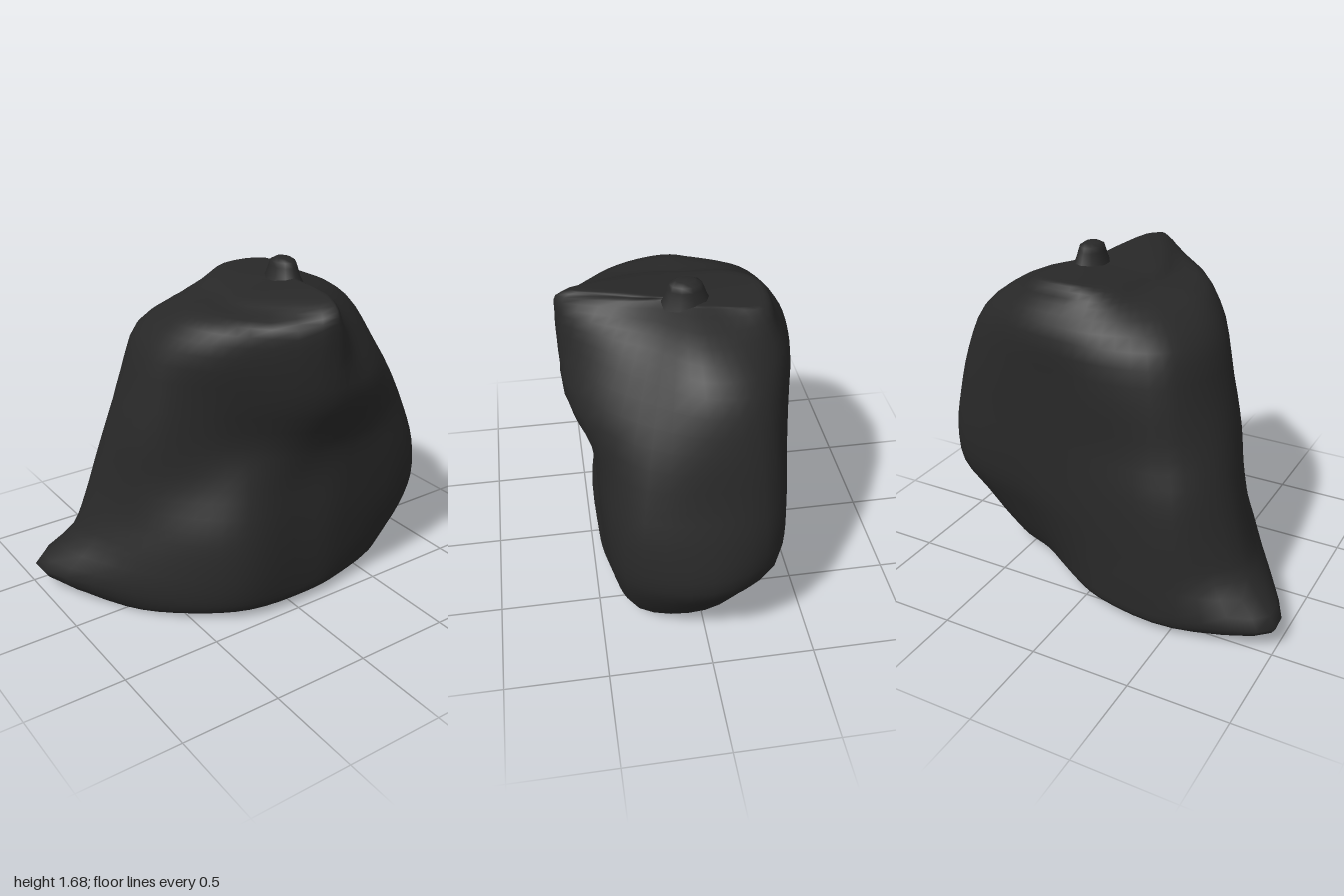
import * as THREE from 'three';

// Horizontal sections of the sack: radii at these directions (0 = +x, 90 = +z)
const ANGLES = [0, 25, 55, 80, 120, 152, 180, 205, 228, 260, 290, 318, 340];
const SECTIONS = [
  [0.04, [.68, .70, .52, .46, .49, .57, .72, .98, .79, .55, .44, .44, .58]],
  [0.12, [.77, .77, .54, .47, .52, .60, .77, 1.10, .81, .56, .46, .49, .66]],
  [0.30, [.90, .87, .55, .46, .52, .58, .72, .90, .79, .56, .49, .56, .79]],
  [0.47, [.99, .92, .56, .44, .49, .54, .66, .82, .77, .56, .51, .62, .91]],
  [0.68, [.95, .91, .57, .42, .42, .46, .62, .75, .73, .55, .51, .64, .93]],
  [0.88, [.88, .85, .59, .46, .37, .43, .60, .69, .66, .53, .51, .64, .90]],
  [1.13, [.81, .74, .67, .59, .42, .44, .55, .60, .61, .53, .51, .64, .84]],
  [1.36, [.70, .57, .56, .61, .45, .45, .48, .51, .53, .49, .51, .62, .74]],
  [1.50, [.53, .42, .47, .61, .42, .36, .34, .30, .31, .36, .42, .54, .56]],
  [1.58, [.31, .26, .36, .60, .25, .16, .12, .12, .15, .26, .38, .48, .36]],
];

// The underside sags a little on the right
const floorY = (x, z) => 0.04 - 0.04 * Math.exp(-((x + 0.62) ** 2 + z * z) / 0.06);
// The top falls away to the right of its ridge
const topDrop = x => 0.28 * Math.max(0, 0.06 - x);

// One vertical line of the sack, from the underside centre to the neck
function columnCurve(deg, i) {
  const a = THREE.MathUtils.degToRad(deg);
  const pts = SECTIONS.map(([y, r]) => new THREE.Vector3(r[i] * Math.cos(a), y, r[i] * Math.sin(a)));
  pts[0].y = floorY(pts[0].x, pts[0].z);
  const base = new THREE.Vector3(-0.1, 0.035, -0.05);
  const inset = pts[0].clone().lerp(base, 0.12);
  inset.y = floorY(inset.x, inset.z);
  const shoulder = pts[pts.length - 1];
  shoulder.y -= topDrop(shoulder.x);
  const neck = new THREE.Vector3(0.22, 1.585, 0.02);
  const rim = shoulder.clone().lerp(neck, 0.2);
  rim.y = 1.587 + 0.06 * Math.max(0, rim.z) - topDrop(rim.x);
  return new THREE.CatmullRomCurve3([base, inset, ...pts, rim, neck]);
}

// Skin stretched over the vertical lines, smooth all round
function sackGeometry(rows, cols) {
  const columns = ANGLES.map(columnCurve);
  const pos = [], index = [];
  for (let r = 0; r <= rows; r++) {
    const ring = new THREE.CatmullRomCurve3(columns.map(c => c.getPoint(r / rows)), true);
    for (let c = 0; c < cols; c++) {
      pos.push(...ring.getPoint(c / cols).toArray());
      if (r === rows) continue;
      const a = r * cols + c, b = r * cols + (c + 1) % cols;
      index.push(a, a + cols, b, b, a + cols, b + cols);
    }
  }
  const g = new THREE.BufferGeometry();
  g.setAttribute('position', new THREE.Float32BufferAttribute(pos, 3));
  g.setIndex(index);
  g.computeVertexNormals();
  return g;
}

export function createModel() {
  const group = new THREE.Group();
  group.name = 'tiedSack';
  const black = new THREE.MeshStandardMaterial({ color: 0x282828 });
  black.name = 'black plastic';

  const sack = new THREE.Mesh(sackGeometry(39, 52), black);
  sack.name = 'sackBody';
  group.add(sack);

  // Gathered knot on top
  const profile = [[0.13, 1.55], [0.1, 1.6], [0.085, 1.64], [0.075, 1.665], [0.045, 1.68], [0, 1.682]]
    .map(([x, y]) => new THREE.Vector2(x, y));
  const knot = new THREE.Mesh(new THREE.LatheGeometry(profile, 10), black);
  knot.name = 'knot';
  knot.scale.x = 0.75;
  knot.position.set(0.23, 0, 0.015);
  group.add(knot);

  return group;
}
